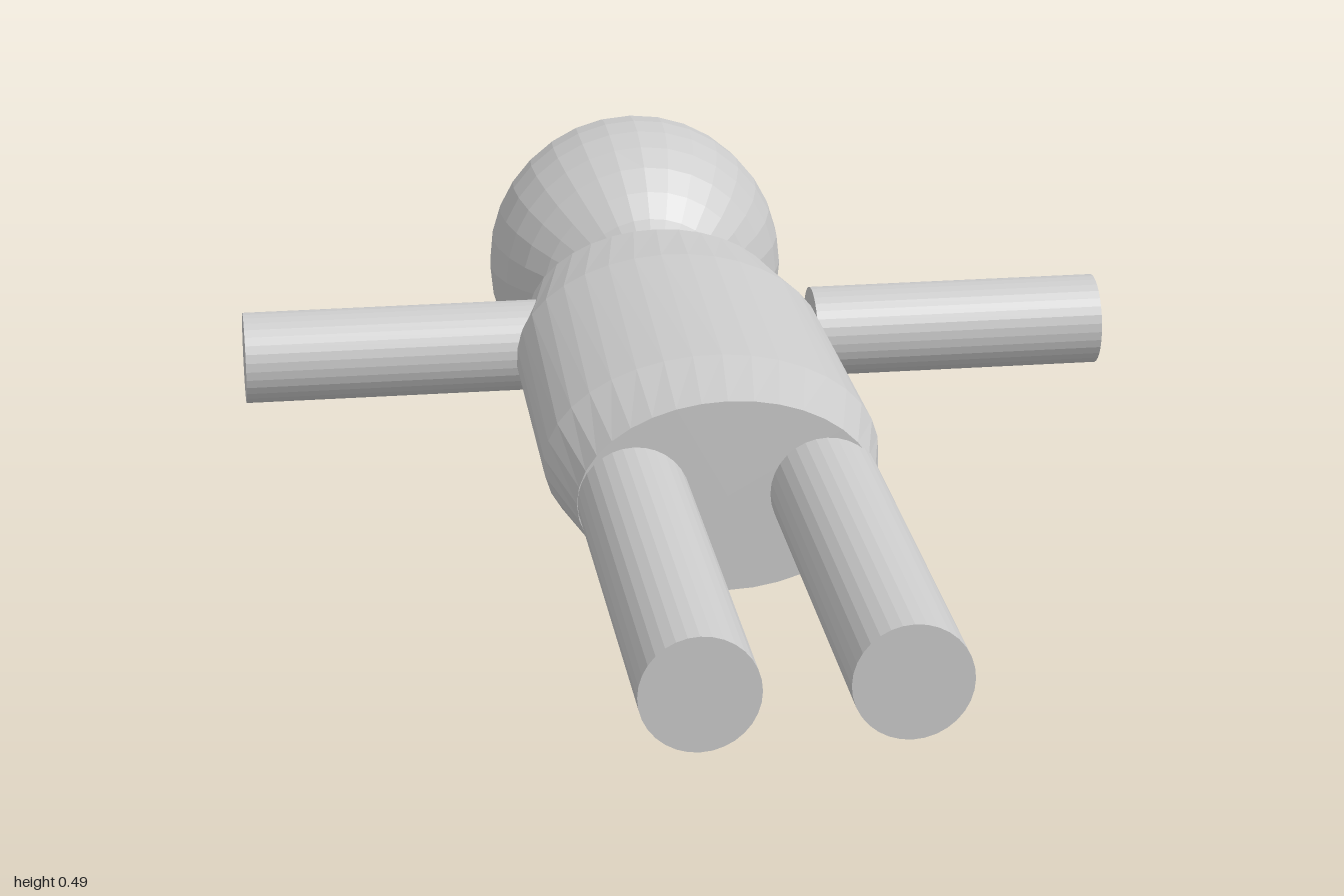
import * as THREE from 'three';

const material = new THREE.MeshStandardMaterial({ color: 0xcccccc, flatShading: true });

function addPart(group, name, geometry) {
  const mesh = new THREE.Mesh(geometry, material);
  mesh.name = name;
  group.add(mesh);
  return mesh;
}

// Cylinder running between two points
function addRod(group, name, from, to, radius) {
  const a = new THREE.Vector3(...from), b = new THREE.Vector3(...to);
  const dir = b.clone().sub(a);
  const mesh = addPart(group, name, new THREE.CylinderGeometry(radius, radius, dir.length(), 32));
  mesh.position.copy(a).add(b).multiplyScalar(0.5);
  mesh.quaternion.setFromUnitVectors(new THREE.Vector3(0, 1, 0), dir.normalize());
}

// Oval barrel with tapered ends; the two middle rings are turned slightly for a ridged surface
function torsoGeometry() {
  // z, centre y, half width, half height, turn
  const rings = [
    [-0.47, 0.247, 0.213, 0.147, 0],
    [-0.30, 0.243, 0.248, 0.163, 0.06],
    [0.16, 0.236, 0.253, 0.161, -0.06],
    [0.32, 0.233, 0.222, 0.148, 0],
  ];
  const geometry = new THREE.CylinderGeometry(1, 1, 3, 36, 3);
  geometry.rotateX(Math.PI / 2);
  const p = geometry.attributes.position;
  for (let i = 0; i < p.count; i++) {
    const [z, cy, w, h, turn] = rings[Math.round(p.getZ(i) + 1.5)];
    const r = Math.hypot(p.getX(i), p.getY(i));
    const angle = Math.atan2(p.getY(i), p.getX(i)) + turn;
    p.setXYZ(i, -0.016 + w * r * Math.cos(angle), cy + h * r * Math.sin(angle), z);
  }
  geometry.computeVertexNormals();
  return geometry;
}

export function createModel() {
  const model = new THREE.Group();
  model.name = 'figure';

  // Head, with its poles along the body axis
  const head = addPart(model, 'head', new THREE.SphereGeometry(0.246, 32, 16));
  head.rotation.x = Math.PI / 2;
  head.position.set(-0.016, 0.25, -0.754);

  addRod(model, 'neck', [-0.013, 0.248, -0.42], [-0.013, 0.249, -0.6], 0.097);
  addPart(model, 'torso', torsoGeometry());

  // Arms and legs
  addRod(model, 'rightArm', [-0.2, 0.244, -0.362], [-0.692, 0.244, -0.362], 0.072);
  addRod(model, 'leftArm', [0.222, 0.244, -0.362], [0.688, 0.244, -0.362], 0.072);
  for (const [name, x] of [['rightLeg', -0.154], ['leftLeg', 0.13]]) {
    addRod(model, name, [x, 0.235, 0.24], [x, 0.225, 0.999], 0.083);
  }
  return model;
}
